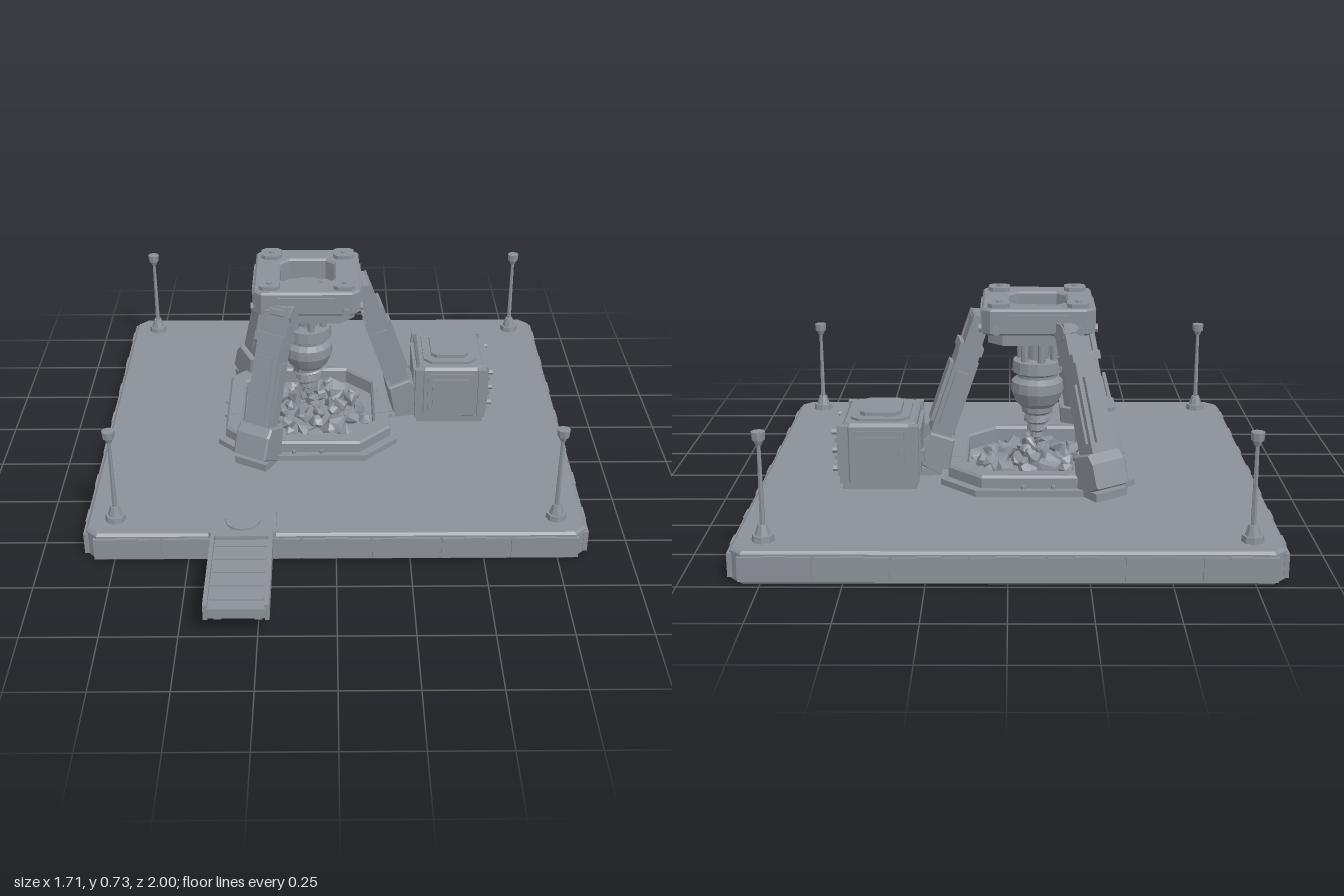
import * as THREE from 'three';
import { ConvexGeometry } from 'three/addons/geometries/ConvexGeometry.js';

const steel = new THREE.MeshStandardMaterial({ color: 0x8b9198, flatShading: true });
steel.name = 'steelGrey';

function add(parent, name, geometry, x = 0, y = 0, z = 0) {
  const m = new THREE.Mesh(geometry, steel);
  m.name = name;
  m.position.set(x, y, z);
  parent.add(m);
  return m;
}
function group(parent, name, x = 0, y = 0, z = 0) {
  const g = new THREE.Group();
  g.name = name;
  g.position.set(x, y, z);
  parent.add(g);
  return g;
}
const box = (w, h, d) => new THREE.BoxGeometry(w, h, d);
const cyl = (r1, r2, h, n = 8) => new THREE.CylinderGeometry(r1, r2, h, n);

// Rectangle with cut corners
function cutRect(w, d, c) {
  const a = w / 2, b = d / 2;
  return [[a, b - c], [a - c, b], [c - a, b], [-a, b - c], [-a, c - b], [c - a, -b], [a - c, -b], [a, c - b]]
    .map(p => new THREE.Vector2(...p));
}
// Upright plate from a cut rectangle, standing on y = 0, with an optional opening
function plate(w, d, c, h, hole, bevel = 0) {
  const s = new THREE.Shape(cutRect(w - 2 * bevel, d - 2 * bevel, c));
  if (hole) s.holes.push(new THREE.Path(cutRect(...hole).reverse()));
  const g = new THREE.ExtrudeGeometry(s, {
    depth: h - 2 * bevel, bevelEnabled: bevel > 0, bevelSize: bevel, bevelThickness: bevel, bevelSegments: 1,
  });
  return g.rotateX(-Math.PI / 2).translate(0, bevel, 0);
}

function seeded(seed) {
  return () => (seed = (seed * 16807) % 2147483647) / 2147483647;
}

// Square base with a row of cladding panels along each edge
function buildBase(root) {
  const base = group(root, 'base', 0, 0, -0.19);
  add(base, 'slab', plate(1.69, 1.59, 0.035, 0.107, null, 0.008));
  const edges = [[0, 0.795, 1.64], [Math.PI / 2, 0.845, 1.54], [Math.PI, 0.795, 1.64], [-Math.PI / 2, 0.845, 1.54]];
  for (const [turn, out, length] of edges) {
    const side = group(base, 'edgePanels');
    side.rotation.y = turn;
    const step = length / 7;
    for (let i = 0; i < 7; i++) {
      const x = (i - 3) * step;
      add(side, 'edgePanel', box(step - 0.008, 0.078, 0.016), x, 0.052, out);
      add(side, 'panelClip', box(0.07, 0.01, 0.02), x, 0.09, out);
    }
  }
}

// Octagonal curb with a sloped inner wall, floor and rubble
function buildPit(root, cx, cz) {
  const pit = group(root, 'pit', cx, 0.1, cz);
  add(pit, 'curbFoot', plate(0.66, 0.66, 0.12, 0.028, [0.52, 0.52, 0.1]));
  add(pit, 'curb', plate(0.61, 0.61, 0.11, 0.07, [0.5, 0.5, 0.1], 0.008));
  add(pit, 'pitFloor', plate(0.54, 0.54, 0.1, 0.012));
  for (let i = 0; i < 8; i++) {
    const side = group(pit, 'curbSide');
    side.rotation.y = i * Math.PI / 4;
    const r = i % 2 ? 0.345 : 0.315;
    for (const z of [-0.05, 0.05]) add(side, 'curbBolt', cyl(0.008, 0.008, 0.012, 6), r - 0.005, 0.033, z);
    if (i % 2 === 0) add(side, 'curbBlock', box(0.03, 0.025, 0.2), 0.278, 0.06, 0);
  }
  const rnd = seeded(41);
  for (let i = 0; i < 46; i++) {
    const a = i * 2.4, r = 0.23 * Math.sqrt((i + 0.5) / 46), s = 0.024 + 0.02 * rnd();
    const pts = [];
    for (let k = 0; k < 12; k++) {
      const u = 2 * rnd() - 1, t = rnd() * Math.PI * 2, q = Math.sqrt(1 - u * u);
      pts.push(new THREE.Vector3(q * Math.cos(t), u, q * Math.sin(t)).multiplyScalar(s));
    }
    add(pit, 'rock', new ConvexGeometry(pts), r * Math.cos(a), 0.02 + 0.03 * (1 - r / 0.23), r * Math.sin(a));
  }
}

// Hollow head block carried by the legs
function buildHead(rig) {
  const head = group(rig, 'head', 0, 0.585, 0);
  add(head, 'headLower', plate(0.34, 0.34, 0.05, 0.05, [0.2, 0.2, 0.03]));
  add(head, 'headUpper', plate(0.38, 0.38, 0.025, 0.09, [0.21, 0.21, 0.035], 0.007), 0, 0.038, 0);
  add(head, 'headFloor', plate(0.23, 0.23, 0.03, 0.03), 0, 0.02, 0);
  add(head, 'mountRing', new THREE.TorusGeometry(0.07, 0.014, 6, 16).rotateX(Math.PI / 2), 0, 0.055, 0);
  add(head, 'mountCap', cyl(0.05, 0.055, 0.03, 12), 0, 0.06, 0);
  for (const x of [-1, 1]) for (const z of [-1, 1]) {
    add(head, 'cornerPad', plate(0.075, 0.075, 0.015, 0.018), x * 0.133, 0.124, z * 0.133);
    add(head, 'padBolt', cyl(0.012, 0.012, 0.008, 6), x * 0.133, 0.144, z * 0.133);
  }
  for (let i = 0; i < 4; i++) {
    const side = group(head, 'headSide');
    side.rotation.y = i * Math.PI / 2;
    add(side, 'sidePlate', box(0.2, 0.06, 0.012), 0, 0.08, 0.19);
    for (const x of [-0.14, 0.14])
      add(side, 'sideBolt', cyl(0.014, 0.014, 0.02, 8).rotateX(Math.PI / 2), x, 0.055, 0.19);
  }
}

// Inward leaning leg pointing along +x of its own group
function buildLeg(rig, angle) {
  const turn = group(rig, 'leg');
  turn.rotation.y = -angle;
  add(turn, 'anklePlate', box(0.13, 0.03, 0.13), 0.36, 0.12, 0);
  const leg = group(turn, 'leaningLeg', 0.385, 0.13, 0);
  leg.rotation.z = 0.337;
  const foot = new THREE.Shape([[-0.065, -0.01], [0.05, 0.012], [0.05, 0.09], [0.035, 0.12], [-0.045, 0.12]]
    .map(p => new THREE.Vector2(...p)));
  add(leg, 'foot', new THREE.ExtrudeGeometry(foot, {
    depth: 0.12, bevelEnabled: true, bevelSize: 0.005, bevelThickness: 0.007, bevelSegments: 1,
  }).translate(0, 0, -0.06));
  add(leg, 'innerBeam', box(0.052, 0.5, 0.075), 0, 0.31, 0);
  add(leg, 'sleeve', box(0.075, 0.33, 0.095), 0, 0.275, 0);
  add(leg, 'outerCover', box(0.02, 0.22, 0.06), 0.04, 0.27, 0);
  add(leg, 'innerCover', box(0.014, 0.26, 0.055), -0.04, 0.27, 0);
  for (const z of [-0.05, 0.05]) {
    add(leg, 'sideStrip', box(0.045, 0.2, 0.014), 0, 0.26, z);
    add(leg, 'shoulderCheek', box(0.06, 0.11, 0.02), 0, 0.51, z);
  }
  add(leg, 'collar', box(0.085, 0.03, 0.115), 0, 0.445, 0);
  add(leg, 'hinge', cyl(0.03, 0.03, 0.13, 10).rotateX(Math.PI / 2), 0, 0.54, 0);
}

// Drill: hanging rods, turned body and a stepped spiral bit
function buildDrill(rig) {
  const body = [[0, 0.61], [0.04, 0.61], [0.04, 0.5], [0.085, 0.495], [0.088, 0.455], [0.07, 0.445], [0.07, 0.435],
    [0.09, 0.42], [0.092, 0.385], [0.075, 0.345], [0.06, 0.33], [0, 0.325]];
  const bit = [[0.058, 0.335], [0.056, 0.31], [0.042, 0.3], [0.048, 0.275], [0.033, 0.265], [0.037, 0.243],
    [0.022, 0.233], [0.025, 0.215], [0.012, 0.208], [0, 0.175]];
  const lathe = (p, n) => new THREE.LatheGeometry(p.map(q => new THREE.Vector2(...q)).reverse(), n);
  add(rig, 'drillBody', lathe(body, 16));
  add(rig, 'drillBit', lathe(bit, 10));
  for (let i = 0; i < 6; i++) {
    const a = i * Math.PI / 3 + 0.3;
    add(rig, 'drillRod', cyl(0.013, 0.013, 0.12, 8), 0.06 * Math.cos(a), 0.54, 0.06 * Math.sin(a));
  }
  // Cutting edge wound down the bit
  const pts = [];
  for (let i = 0; i <= 40; i++) {
    const t = i / 40, a = t * Math.PI * 6, r = 0.058 * (1 - t) + 0.004;
    pts.push(new THREE.Vector3(r * Math.cos(a), 0.325 - 0.135 * t, r * Math.sin(a)));
  }
  add(rig, 'spiralEdge', new THREE.TubeGeometry(new THREE.CatmullRomCurve3(pts), 60, 0.006, 4));
}

// Generator cabinet beside the rig
function buildGenerator(root) {
  const gen = group(root, 'generator', 0.435, 0.105, -0.28);
  add(gen, 'plinth', box(0.25, 0.025, 0.31), 0, 0.012, 0);
  add(gen, 'cabinet', plate(0.25, 0.31, 0.02, 0.215, null, 0.01), 0, 0.015, 0);
  add(gen, 'roofPlate', plate(0.2, 0.24, 0.03, 0.014), 0, 0.225, 0);
  add(gen, 'roofHatch', plate(0.14, 0.18, 0.02, 0.014), 0, 0.238, 0);
  for (const x of [-1, 1]) for (const z of [-1, 1])
    add(gen, 'cornerPost', box(0.03, 0.2, 0.03), x * 0.118, 0.125, z * 0.15);
  for (const z of [-1, 1]) {
    add(gen, 'door', box(0.17, 0.165, 0.014), 0, 0.125, z * 0.156);
    add(gen, 'doorPanel', box(0.135, 0.125, 0.01), 0, 0.125, z * 0.164);
  }
  add(gen, 'ventFrame', box(0.03, 0.18, 0.24), 0.13, 0.125, 0);
  for (let i = 0; i < 5; i++) add(gen, 'ventSlat', box(0.012, 0.016, 0.2), 0.149, 0.065 + i * 0.03, 0);
  for (const z of [-0.105, 0.105]) for (const y of [0.06, 0.125, 0.19])
    add(gen, 'ventBolt', cyl(0.011, 0.011, 0.02, 6).rotateZ(Math.PI / 2), 0.152, y, z);
  add(gen, 'innerPanel', box(0.02, 0.15, 0.22), -0.128, 0.125, 0);
  for (const z of [-0.09, 0.09]) add(gen, 'cableSocket', box(0.02, 0.04, 0.03), -0.14, 0.1, z);
}

// Loading ramp with curbs, legs and a turntable pad
function buildRamp(root) {
  const ramp = group(root, 'ramp', -0.315, 0, 0);
  add(ramp, 'deck', box(0.19, 0.035, 0.39), 0, 0.09, 0.805);
  add(ramp, 'landing', plate(0.225, 0.175, 0.025, 0.018), 0, 0.104, 0.548);
  add(ramp, 'turntable', cyl(0.06, 0.06, 0.008, 12), 0, 0.124, 0.545);
  for (const x of [-1, 1]) {
    add(ramp, 'sideRail', box(0.014, 0.058, 0.39), x * 0.097, 0.095, 0.805);
    for (const z of [0.75, 0.925]) add(ramp, 'rampLeg', box(0.025, 0.06, 0.025), x * 0.065, 0.047, z);
  }
  for (let i = 0; i < 5; i++) add(ramp, 'tread', box(0.17, 0.005, 0.012), 0, 0.109, 0.67 + i * 0.07);
}

// Corner lamp post
function buildLamp(root, x, z) {
  const lamp = group(root, 'lampPost', x, 0.105, z);
  add(lamp, 'lampFoot', cyl(0.034, 0.036, 0.022, 8), 0, 0.011, 0);
  add(lamp, 'lampSocket', cyl(0.015, 0.026, 0.035, 8), 0, 0.038, 0);
  add(lamp, 'lampStem', cyl(0.006, 0.009, 0.27, 6), 0, 0.185, 0);
  add(lamp, 'lampNeck', cyl(0.018, 0.009, 0.02, 8), 0, 0.318, 0);
  add(lamp, 'lampHead', cyl(0.022, 0.02, 0.026, 8), 0, 0.339, 0);
}

export function createModel() {
  const root = new THREE.Group();
  root.name = 'drillingPlatform';
  buildBase(root);
  buildPit(root, -0.1, -0.18);
  const rig = group(root, 'drillRig', -0.1, 0, -0.18);
  buildHead(rig);
  for (const degrees of [-8, 119, 235]) buildLeg(rig, THREE.MathUtils.degToRad(degrees));
  buildDrill(rig);
  buildGenerator(root);
  buildRamp(root);
  for (const x of [-0.75, 0.75]) for (const z of [-0.89, 0.51]) buildLamp(root, x, z);
  return root;
}
